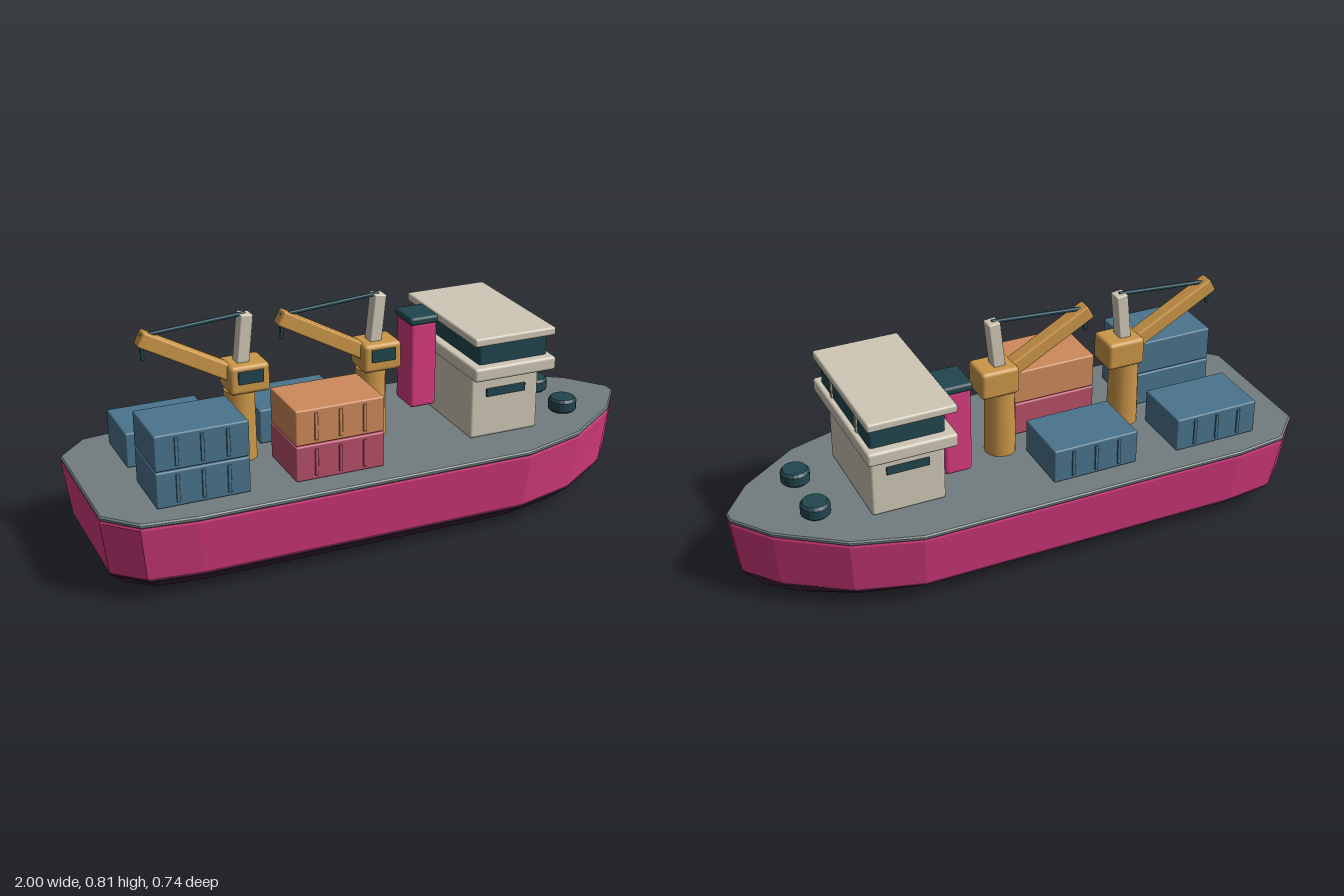
import * as THREE from 'three';
import { RoundedBoxGeometry } from 'three/addons/geometries/RoundedBoxGeometry.js';

const paint = (name, color, extra = {}) => {
  const m = new THREE.MeshStandardMaterial({ color, ...extra });
  m.name = name;
  return m;
};

export function createModel() {
  const ship = new THREE.Group();
  ship.name = 'cargoShip';

  const magenta = paint('magenta', 0xd63a7e, { flatShading: true });
  const plum = paint('darkPlum', 0x3c2336, { flatShading: true });
  const grey = paint('deckGrey', 0x727d80, { flatShading: true });
  const blue = paint('containerBlue', 0x4a748c);
  const red = paint('containerRed', 0xb8506a);
  const orange = paint('containerOrange', 0xcd8a5a);
  const yellow = paint('craneYellow', 0xcc9748);
  const cream = paint('cream', 0xcfc8b6);
  const teal = paint('darkTeal', 0x21464f);

  const add = (parent, name, geo, mat, x = 0, y = 0, z = 0) => {
    const mesh = new THREE.Mesh(geo, mat);
    mesh.name = name;
    mesh.position.set(x, y, z);
    parent.add(mesh);
    return mesh;
  };
  // Rounded box given by its extents on each axis
  const box = (parent, name, mat, [x0, x1], [y0, y1], [z0, z1], r = 0.008) =>
    add(parent, name, new RoundedBoxGeometry(x1 - x0, y1 - y0, z1 - z0, 2, r), mat,
      (x0 + x1) / 2, (y0 + y1) / 2, (z0 + z1) / 2);
  // Rod or beam between two points in the plane z = 0
  const beam = (parent, name, mat, a, b, thick, depth, r) => {
    const dx = b[0] - a[0], dy = b[1] - a[1];
    const geo = new RoundedBoxGeometry(Math.hypot(dx, dy), thick, depth, 2, r);
    const mesh = add(parent, name, geo, mat, (a[0] + b[0]) / 2, (a[1] + b[1]) / 2, 0);
    mesh.rotation.z = Math.atan2(dy, dx);
    return mesh;
  };

  // Hull: one deck outline scaled into rings [y, scaleX, scaleZ]
  const half = [[-1, 0.243], [-0.9, 0.347], [-0.72, 0.37], [0.46, 0.37], [0.69, 0.3], [0.9, 0.15], [1, 0.02]];
  const outline = [...half, ...half.map(([x, z]) => [x, -z]).reverse()];
  const n = outline.length;
  const loft = (rings) => {
    const pos = [], index = [];
    for (const [y, sx, sz] of rings) for (const [x, z] of outline) pos.push(x * sx, y, z * sz);
    const last = (rings.length - 1) * n;
    for (let k = 0; k < rings.length - 1; k++) {
      for (let i = 0; i < n; i++) {
        const a = k * n + i, b = k * n + (i + 1) % n;
        index.push(a, b, b + n, a, b + n, a + n);
      }
    }
    for (let i = 1; i < n - 1; i++) index.push(0, i + 1, i, last, last + i, last + i + 1);
    const geo = new THREE.BufferGeometry();
    geo.setAttribute('position', new THREE.Float32BufferAttribute(pos, 3));
    geo.setIndex(index);
    const flat = geo.toNonIndexed();
    flat.computeVertexNormals();
    return flat;
  };
  add(ship, 'hullBottom', loft([[0, 0.905, 0.64], [0.008, 0.915, 0.68], [0.072, 0.968, 0.895], [0.082, 0.968, 0.9]]), plum);
  add(ship, 'hullSides', loft([[0.08, 0.97, 0.905], [0.088, 0.976, 0.92], [0.274, 0.999, 0.995], [0.282, 0.996, 0.99]]), magenta);
  add(ship, 'deck', loft([[0.281, 0.995, 0.99], [0.286, 1, 1], [0.293, 1, 1], [0.298, 0.995, 0.988]]), grey);

  // Containers with ribs on the outboard side
  const container = (mat, x, level, side) => {
    const g = new THREE.Group();
    g.name = 'container';
    g.position.set(x, 0.3 + level * 0.126, side * 0.164);
    box(g, 'containerBody', mat, [-0.156, 0.156], [0, 0.123], [-0.112, 0.112], 0.006);
    for (const rx of [-0.085, 0, 0.085])
      box(g, 'containerRib', mat, [rx - 0.006, rx + 0.006], [0.014, 0.109], [side * 0.113 - 0.004, side * 0.113 + 0.004], 0.002);
    ship.add(g);
  };
  container(blue, -0.667, 0, 1);
  container(blue, -0.667, 1, 1);
  container(red, -0.2, 0, 1);
  container(orange, -0.2, 1, 1);
  container(blue, -0.667, 0, -1);
  container(blue, -0.2, 0, -1);

  // Deck cranes
  for (const x of [-0.445, 0.03]) {
    const g = new THREE.Group();
    g.name = 'crane';
    g.position.x = x;
    add(g, 'cranePost', new THREE.CylinderGeometry(0.052, 0.055, 0.245, 16), yellow, 0, 0.42, 0);
    box(g, 'craneCab', yellow, [-0.048, 0.09], [0.54, 0.64], [-0.06, 0.06], 0.014);
    box(g, 'cabWindow', teal, [-0.022, 0.066], [0.578, 0.622], [0.057, 0.065], 0.002);
    beam(g, 'craneBoom', yellow, [0, 0.588], [-0.328, 0.769], 0.053, 0.052, 0.007);
    beam(g, 'craneMast', cream, [0.008, 0.62], [0.028, 0.801], 0.043, 0.05, 0.005);
    beam(g, 'craneStay', teal, [0.03, 0.8], [-0.325, 0.774], 0.012, 0.014, 0.004);
    beam(g, 'hookLine', teal, [-0.32, 0.69], [-0.32, 0.755], 0.012, 0.014, 0.004);
    ship.add(g);
  }

  // Bridge house
  const house = new THREE.Group();
  house.name = 'bridgeHouse';
  ship.add(house);
  box(house, 'houseBase', cream, [0.315, 0.573], [0.298, 0.54], [-0.2, 0.2], 0.01);
  box(house, 'bridgeWalkway', cream, [0.293, 0.602], [0.532, 0.58], [-0.266, 0.266], 0.01);
  box(house, 'bridgeWindows', teal, [0.325, 0.583], [0.572, 0.656], [-0.232, 0.232], 0.01);
  box(house, 'bridgeRoof', cream, [0.293, 0.598], [0.656, 0.686], [-0.262, 0.262], 0.008);
  for (const s of [-1, 1]) {
    box(house, 'windowPillar', cream, [0.576, 0.588], [0.578, 0.658], [s * 0.117 - 0.008, s * 0.117 + 0.008], 0.002);
    box(house, 'sideWindow', teal, [0.371, 0.52], [0.447, 0.476], [s * 0.203 - 0.004, s * 0.203 + 0.004], 0.002);
  }

  // Funnel behind the house
  box(ship, 'funnel', magenta, [0.196, 0.294], [0.345, 0.66], [-0.147, -0.023], 0.012);
  box(ship, 'funnelCap', teal, [0.191, 0.299], [0.652, 0.681], [-0.152, -0.018], 0.01);

  // Foredeck bollards
  const profile = [[0, 0], [0.042, 0], [0.05, 0.008], [0.05, 0.04], [0.042, 0.05], [0, 0.05]]
    .map(([r, y]) => new THREE.Vector2(r, y));
  const tealFacet = paint('darkTealFacet', 0x21464f, { flatShading: true });
  for (const z of [-0.104, 0.104])
    add(ship, 'bollard', new THREE.LatheGeometry(profile, 18), tealFacet, 0.735, 0.298, z);

  return ship;
}
